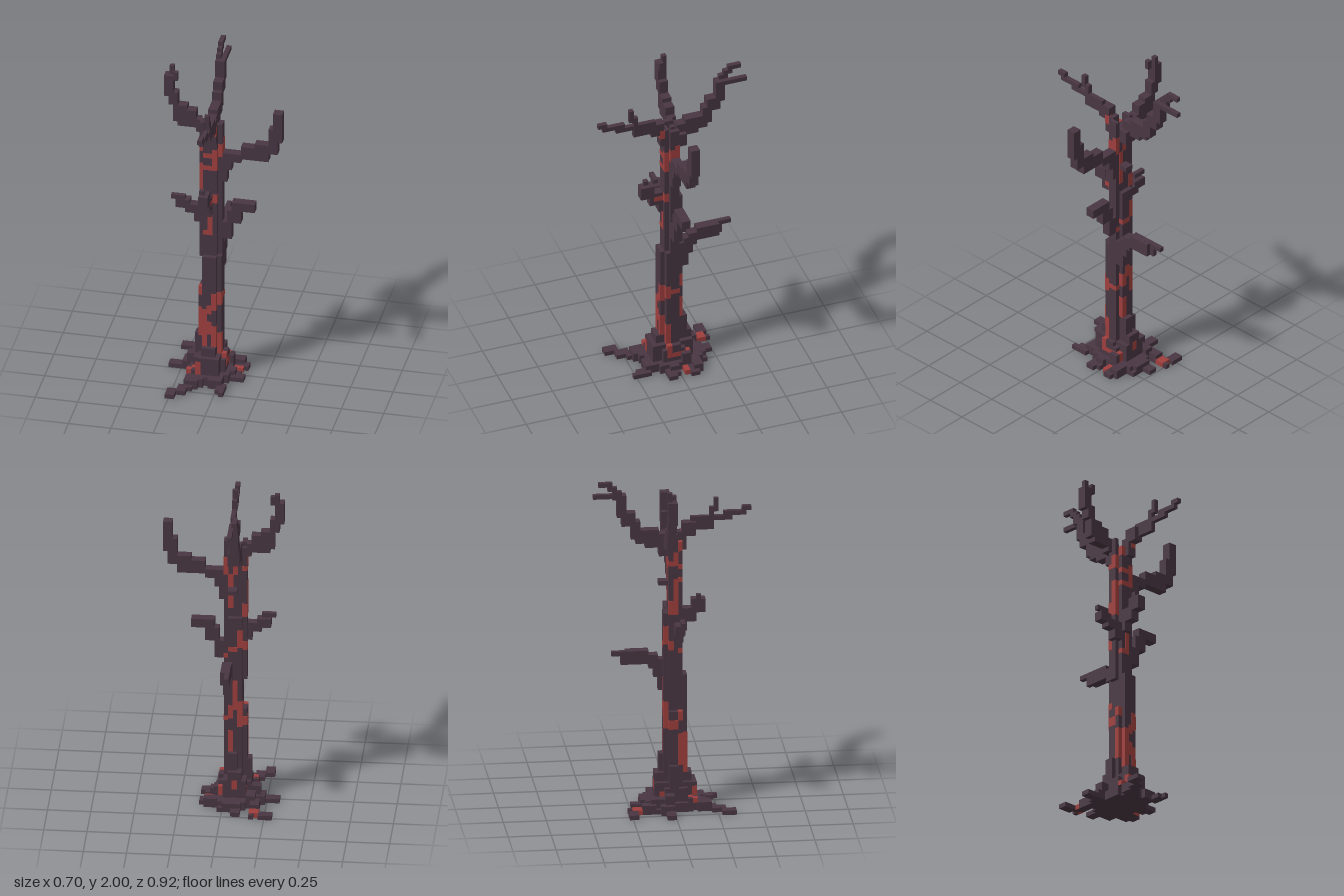
import * as THREE from 'three';
import { mergeGeometries } from 'three/addons/utils/BufferGeometryUtils.js';

const U = 2 / 74; // edge of one block

// Merge block boxes [x0, x1, y0, y1, z0, z1] (in block units) into one mesh
function blocks(name, material, list, grow = 0) {
  const geos = list.map(([x0, x1, y0, y1, z0, z1]) => {
    const g = new THREE.BoxGeometry((x1 - x0) * U + grow, (y1 - y0) * U + grow, (z1 - z0) * U + grow);
    g.translate((x0 + x1) * U / 2, (y0 + y1) * U / 2, (z0 + z1) * U / 2);
    return g;
  });
  const mesh = new THREE.Mesh(mergeGeometries(geos), material);
  mesh.name = name;
  return mesh;
}

export function createModel() {
  const bark = new THREE.MeshStandardMaterial({ color: 0x483642 });
  bark.name = 'darkBark';
  const ember = new THREE.MeshStandardMaterial({ color: 0x9e3f3d });
  ember.name = 'redVein';

  const parts = {
    // Cross-shaped column, thinner towards the top
    trunk: [
      [-4, -1, 0, 30, -2, 3], [-5, 0, 0, 22, -1, 2], [-4, 0, 22, 30, -1, 2],
      [-4, -1, 30, 44, -2, 2], [-5, 0, 29, 44, -1, 1],
      [-4, -1, 44, 60, -1, 2], [-5, 0, 44, 60, -1, 1],
      [-3, -1, 50, 51, -3, -1], [-1, 0, 60, 62, -1, 1], [-5, -4, 60, 62, -1, 1],
    ],
    // Stepped flare at the foot
    trunkFlare: [
      [-7, 2, 0, 2, -4, 4], [-5, 1, 0, 2, -6, 6], [-6, 1, 2, 5, -2, 3],
      [-5, 0, 2, 6, -4, 5], [-6, -4, 4, 10, -1, 1], [-4, -1, 6, 8, -4, 4],
      [-3, -1, 8, 12, -3, 0], [-5, -4, 5, 14, -1, 2], [0, 1, 5, 6, -1, 2],
    ],
    rootFrontRight: [
      [-6, -3, 0, 2, 3, 7], [-7, -4, 0, 2, 5, 8], [-8, -6, 0, 1, 8, 11], [-10, -8, 0, 1, 10, 13],
      [-6, -5, 0, 1, 7, 9], [-7, -4, 2, 3, 3, 5],
    ],
    rootFrontLeft: [[-2, 1, 0, 2, 4, 7], [0, 2, 0, 1, 6, 9], [1, 2, 0, 1, 9, 10]],
    rootLeft: [[0, 4, 0, 1, 0, 3], [0, 3, 1, 2, 0, 2], [4, 5, 0, 1, 1, 3]],
    rootBackLeft: [[0, 4, 0, 1, -4, -1], [1, 4, 0, 2, -5, -3], [4, 5, 0, 1, -4, -2], [0, 2, 1, 4, -3, -1]],
    rootBackRight: [
      [-8, -4, 0, 1, -5, -1], [-7, -5, 1, 3, -5, -2], [-8, -6, 0, 2, -7, -4],
      [-8, -6, 0, 1, -9, -6], [-11, -8, 0, 1, -10, -8], [-7, -6, 0, 1, -10, -9],
    ],
    rootRight: [[-9, -5, 0, 2, -3, 0], [-12, -8, 0, 1, -2, 0], [-8, -5, 2, 4, -2, 0]],
    rootBack: [[-4, 0, 0, 2, -7, -4], [-2, 1, 0, 1, -7, -5], [-4, -2, 0, 1, -9, -6]],

    // Upper branches
    upperLeftBranch: [
      [-1, 1, 48, 54, -1, 1], [0, 2, 51, 55, -1, 1], [1, 4, 53, 55, -1, 1], [4, 7, 54, 57, -1, 1],
      [7, 10, 54, 58, -1, 1], [10, 12, 56, 62, -1, 1], [11, 13, 59, 66, -1, 1],
    ],
    upperRightBranch: [
      [-6, -3, 59, 61, -2, 0], [-10, -5, 60, 62, -2, 0], [-8, -6, 62, 64, -2, 0],
      [-11, -8, 61, 65, -2, 0], [-12, -10, 65, 68, -2, 0], [-13, -11, 67, 72, -2, 0],
      [-12, -11, 72, 74, -2, -1], [-11, -10, 71, 73, -1, 0],
    ],
    upperBackBranch: [
      [-4, -1, 57, 60, -3, 0], [-4, -2, 59, 62, -6, -1], [-4, -2, 60, 63, -8, -3],
      [-4, -2, 61, 65, -9, -7], [-4, -2, 64, 67, -11, -8], [-4, -2, 66, 71, -12, -10],
      [-3, -2, 70, 71, -17, -11], [-4, -3, 70, 72, -13, -11], [-4, -3, 72, 73, -14, -12],
      [-4, -3, 73, 74, -16, -13],
    ],
    upperFrontBranch: [
      [-3, -1, 58, 62, 1, 3], [-3, -1, 61, 64, 2, 5], [-2, -1, 62, 65, 4, 9], [-2, -1, 64, 65, 8, 13],
      [-2, -1, 65, 66, 11, 16], [-2, -1, 66, 67, 15, 17], [-2, -1, 65, 67, 8, 9], [-2, -1, 66, 69, 9, 10],
    ],

    // Middle branches
    middleRightBranch: [
      [-6, -4, 38, 42, 0, 2], [-8, -5, 40, 42, 0, 2], [-10, -7, 41, 43, 0, 2], [-11, -8, 43, 44, 1, 2],
    ],
    middleLeftBranch: [
      [-1, 2, 34, 38, -1, 1], [1, 4, 38, 41, -1, 1], [2, 4, 41, 43, -1, 1], [4, 7, 41, 43, -1, 1],
    ],
    middleFrontBranch: [
      [-4, -2, 40, 44, 1, 3], [-4, -2, 42, 45, 2, 5], [-4, -2, 44, 47, 4, 7], [-4, -3, 47, 48, 5, 6],
    ],
    middleBackBranch: [
      [-2, 0, 26, 32, -3, -1], [-2, 0, 29, 33, -4, -2], [-2, 0, 31, 34, -5, -3],
      [-2, 0, 32, 34, -10, -4], [-2, -1, 32, 34, -11, -10], [-2, 0, 34, 35, -10, -5],
      [-2, -1, 34, 35, -13, -10],
    ],
  };

  // Glowing cracks, raised a hair above the bark
  const veins = {
    frontVeins: [
      [-5, -4, 2, 5, 4, 5], [-4, -3, 8, 17, 2, 3], [-3, -2, 11, 14, 2, 3], [-2, -1, 10, 12, 2, 3],
      [-1, 0, 6, 11, 1, 2], [-3, -2, 16, 18, 2, 3], [-2, -1, 17, 20, 2, 3], [-1, 0, 18, 21, 1, 2],
      [-4, -3, 35, 36, 1, 2], [-3, -2, 35, 40, 1, 2], [-2, -1, 43, 45, 1, 2],
    ],
    upperFrontVeins: [
      [-5, -4, 46, 52, 0, 1], [-4, -1, 51, 52, 1, 2], [-2, -1, 52, 56, 1, 2], [-1, 0, 54, 57, 0, 1],
      [-4, -2, 54, 55, 1, 2], [-5, -4, 55, 58, 0, 1], [-4, -2, 58, 60, 1, 2], [-2, -1, 60, 62, 2, 3],
    ],
    leftVeins: [
      [-2, -1, 18, 21, 2, 3], [-1, 0, 19, 20, -1, 2], [-2, -1, 20, 23, -2, -1], [-2, -1, 8, 13, 2, 3],
      [-1, 0, 6, 11, 1, 2], [0, 1, 3, 6, 1, 2], [0, 1, 3, 4, -1, 1], [-1, 0, 34, 35, -1, 0],
      [-3, -2, 43, 44, 2, 4],
    ],
    backVeins: [
      [-2, -1, 12, 17, -2, -1], [-4, -2, 22, 24, -2, -1], [-4, -3, 18, 22, -2, -1],
      [-3, -2, 24, 29, -2, -1], [-3, -1, 36, 37, -2, -1], [-4, -3, 37, 41, -2, -1],
      [-2, -1, 46, 54, -1, 0], [-3, -2, 54, 56, -1, 0], [-1, 0, 54, 58, -1, 0], [-3, -2, 4, 6, -4, -3],
    ],
    rightVeins: [
      [-5, -4, 10, 17, 1, 2], [-5, -4, 18, 20, -1, 1], [-5, -4, 20, 22, 1, 2],
      [-5, -4, 36, 38, -1, 0], [-5, -4, 44, 47, -1, 1], [-5, -4, 55, 56, -1, 1],
    ],
    rootVeins: [
      [1, 4, 0, 1, -2, -1], [-8, -6, 0, 1, -9, -7], [-6, -4, 2, 3, 3, 4], [-7, -6, 2, 3, 4, 5],
      [-5, -4, 2, 4, -3, -2], [0, 1, 2, 4, -3, -1],
    ],
  };

  const group = new THREE.Group();
  group.name = 'witheredTree';
  for (const [name, list] of Object.entries(parts)) group.add(blocks(name, bark, list));
  for (const [name, list] of Object.entries(veins)) {
    const mesh = blocks(name, ember, list, 0.003);
    mesh.position.y = 0.0015;
    group.add(mesh);
  }
  return group;
}
